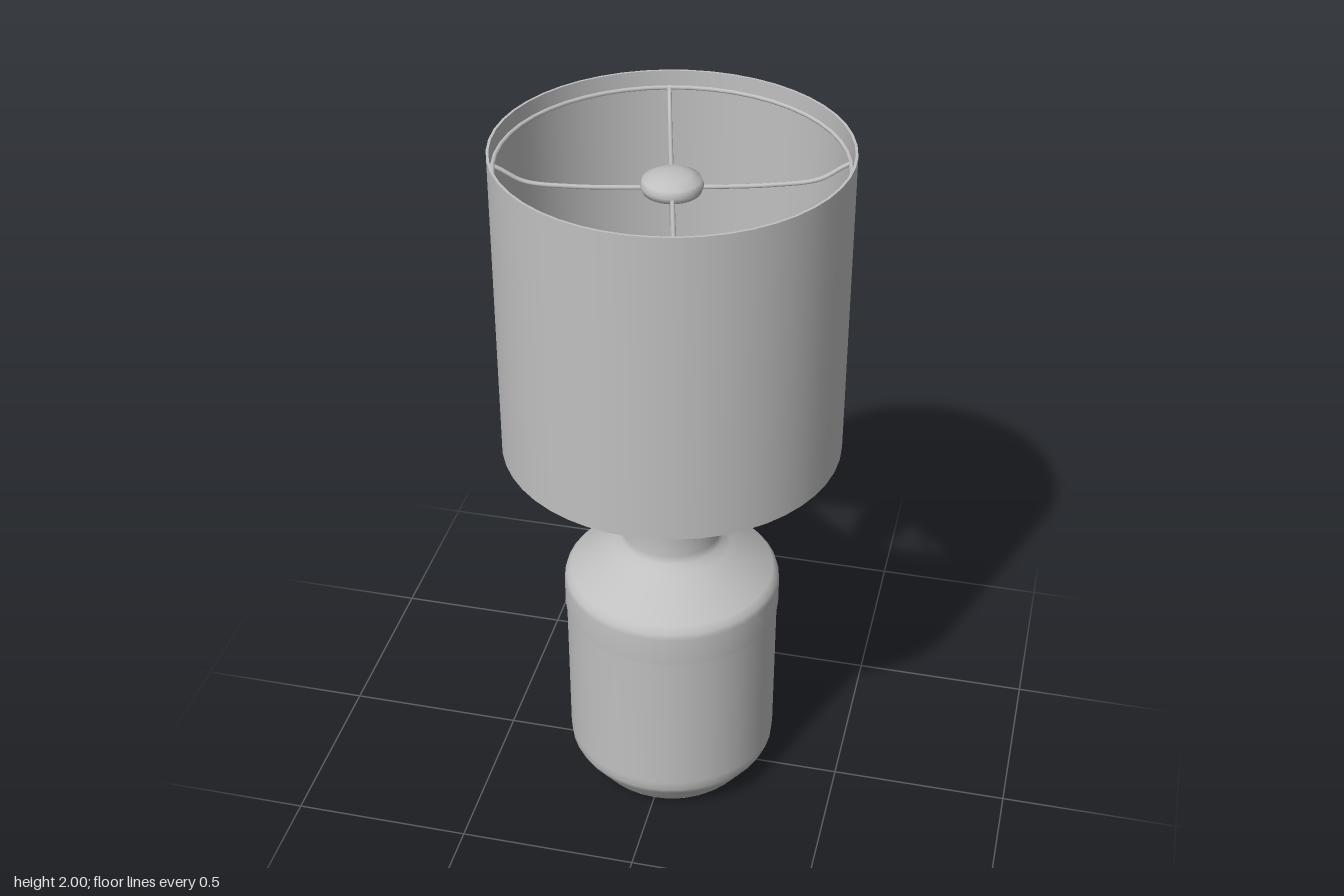
import * as THREE from 'three';

const grey = new THREE.MeshStandardMaterial({ color: 0xc0c0c0, side: THREE.DoubleSide });
grey.name = 'plain grey';

export function createModel() {
  const lamp = new THREE.Group();
  lamp.name = 'tableLamp';

  const add = (name, geometry, parent = lamp) => {
    const mesh = new THREE.Mesh(geometry, grey);
    mesh.name = name;
    parent.add(mesh);
    return mesh;
  };
  const lathe = (name, profile, segments = 32) =>
    add(name, new THREE.LatheGeometry(profile.map(([r, y]) => new THREE.Vector2(r, y)), segments));
  const wire = (name, points, radius, parent) => {
    const curve = new THREE.CatmullRomCurve3(points.map(([x, y, z]) => new THREE.Vector3(x, y, z)));
    return add(name, new THREE.TubeGeometry(curve, 32, radius, 8), parent);
  };

  // Jug-shaped base with bevelled foot, shoulder band and flared lip
  const foot = add('footUnderside', new THREE.CircleGeometry(0.228, 32));
  foot.rotation.x = Math.PI / 2;
  lathe('body', [
    [0.228, 0], [0.237, 0.01], [0.288, 0.08], [0.298, 0.1], [0.3, 0.13], [0.301, 0.57],
    [0.305, 0.58], [0.305, 0.665], [0.301, 0.682], [0.287, 0.7], [0.165, 0.787],
    [0.143, 0.805], [0.136, 0.825], [0.136, 0.895], [0.143, 0.915],
    [0.2, 1.005], [0.202, 1.018], [0.195, 1.03], [0.165, 1.042], [0.07, 1.052], [0, 1.054],
  ], 40);

  // Stem and bulb holder
  lathe('stem', [
    [0.065, 1.05], [0.065, 1.062], [0.055, 1.07], [0.048, 1.09], [0.045, 1.13], [0.042, 1.2], [0, 1.2],
  ], 24);
  lathe('socket', [
    [0.02, 1.19], [0.04, 1.21], [0.055, 1.24], [0.06, 1.27], [0.06, 1.35], [0.05, 1.38], [0.045, 1.42], [0, 1.42],
  ], 24);
  lathe('bulb', [
    [0.04, 1.42], [0.045, 1.46], [0.07, 1.53], [0.088, 1.6], [0.088, 1.65], [0.07, 1.7], [0.04, 1.725], [0, 1.735],
  ], 20);

  // Round cap that holds the shade on the harp
  lathe('cap', [
    [0, 1.87], [0.055, 1.872], [0.075, 1.882], [0.081, 1.898], [0.075, 1.915], [0.05, 1.928], [0.025, 1.933], [0, 1.934],
  ], 28);

  // Wire frame, turned slightly so its spokes sit off the axes
  const frame = new THREE.Group();
  frame.name = 'wireFrame';
  frame.rotation.y = Math.atan2(0.11, 0.44);
  lamp.add(frame);
  for (let i = 0; i < 4; i++) {
    const spoke = wire('spoke', [
      [0.45, 1.955, 0], [0.43, 1.945, 0], [0.37, 1.91, 0], [0.25, 1.895, 0], [0.05, 1.89, 0],
    ], 0.006, frame);
    spoke.rotation.y = i * Math.PI / 2;
  }
  for (const side of [-1, 1]) {
    wire('harp', [
      [0, 1.21, side * 0.03], [0, 1.225, side * 0.085], [0, 1.27, side * 0.1], [0, 1.4, side * 0.112],
      [0, 1.6, side * 0.12], [0, 1.75, side * 0.105], [0, 1.84, side * 0.06], [0, 1.875, 0],
    ], 0.006, frame);
  }
  for (const y of [1.14, 1.955]) {
    const ring = add('frameRing', new THREE.TorusGeometry(0.448, 0.006, 8, 48), frame);
    ring.rotation.x = Math.PI / 2;
    ring.position.y = y;
  }

  // Thin drum shade, open at both ends
  const shade = new THREE.Group();
  shade.name = 'shade';
  lamp.add(shade);
  const bottom = 1.13, top = 2;
  for (const [name, r] of [['shadeOutside', 0.462], ['shadeInside', 0.455]]) {
    const wall = add(name, new THREE.CylinderGeometry(r, r, top - bottom, 48, 1, true), shade);
    wall.position.y = (top + bottom) / 2;
  }
  for (const [y, turn] of [[bottom, 1], [top, -1]]) {
    const rim = add('shadeRim', new THREE.RingGeometry(0.455, 0.462, 48), shade);
    rim.rotation.x = turn * Math.PI / 2;
    rim.position.y = y;
  }

  return lamp;
}
